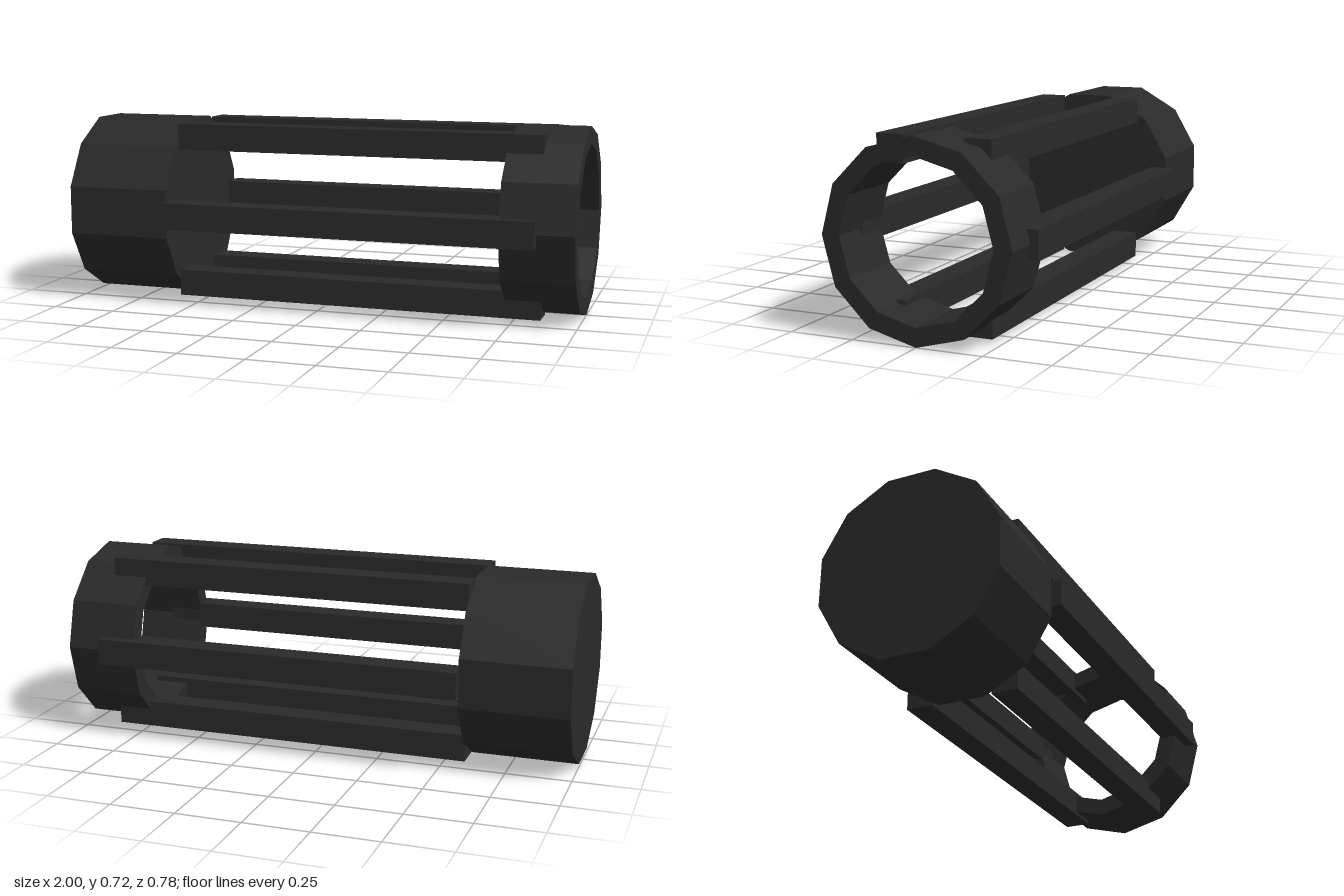
import * as THREE from 'three';

const SIDES = 12;
const RADIUS = 0.362;
const INNER_RADIUS = 0.293;
const CENTER_Y = 0.362;

// Regular polygon outline, counter-clockwise, with a corner pointing straight up
function polygon(radius) {
  return Array.from({ length: SIDES }, (_, i) => {
    const a = (i / SIDES) * Math.PI * 2;
    return new THREE.Vector2(-Math.sin(a) * radius, Math.cos(a) * radius);
  });
}

export function createModel() {
  const group = new THREE.Group();
  group.name = 'cageTube';

  const charcoal = new THREE.MeshStandardMaterial({ color: 0x2a2a2a, flatShading: true });
  charcoal.name = 'charcoal';

  const add = (name, geometry, x, y, z) => {
    const mesh = new THREE.Mesh(geometry, charcoal);
    mesh.name = name;
    mesh.position.set(x, y, z);
    group.add(mesh);
  };

  // Solid end block, turned half a side so a flat faces up
  const block = new THREE.CylinderGeometry(RADIUS, RADIUS, 0.413, SIDES, 1, false, Math.PI / SIDES);
  block.rotateZ(-Math.PI / 2);
  add('solidEnd', block, -0.7935, CENTER_Y, 0);

  // Open ring at the other end
  const outline = new THREE.Shape(polygon(RADIUS));
  outline.holes.push(new THREE.Path(polygon(INNER_RADIUS)));
  const ring = new THREE.ExtrudeGeometry(outline, { depth: 0.277, bevelEnabled: false });
  ring.rotateY(Math.PI / 2);
  add('openRing', ring, 0.723, CENTER_Y, 0);

  // Six square bars joining the ends, all kept upright
  const bar = new THREE.BoxGeometry(1.448, 0.103, 0.103);
  for (let i = 0; i < 6; i++) {
    const a = (i * Math.PI) / 3;
    add(`bar${i + 1}`, bar, 0.136, CENTER_Y + Math.sin(a) * 0.338, Math.cos(a) * 0.338);
  }

  return group;
}
